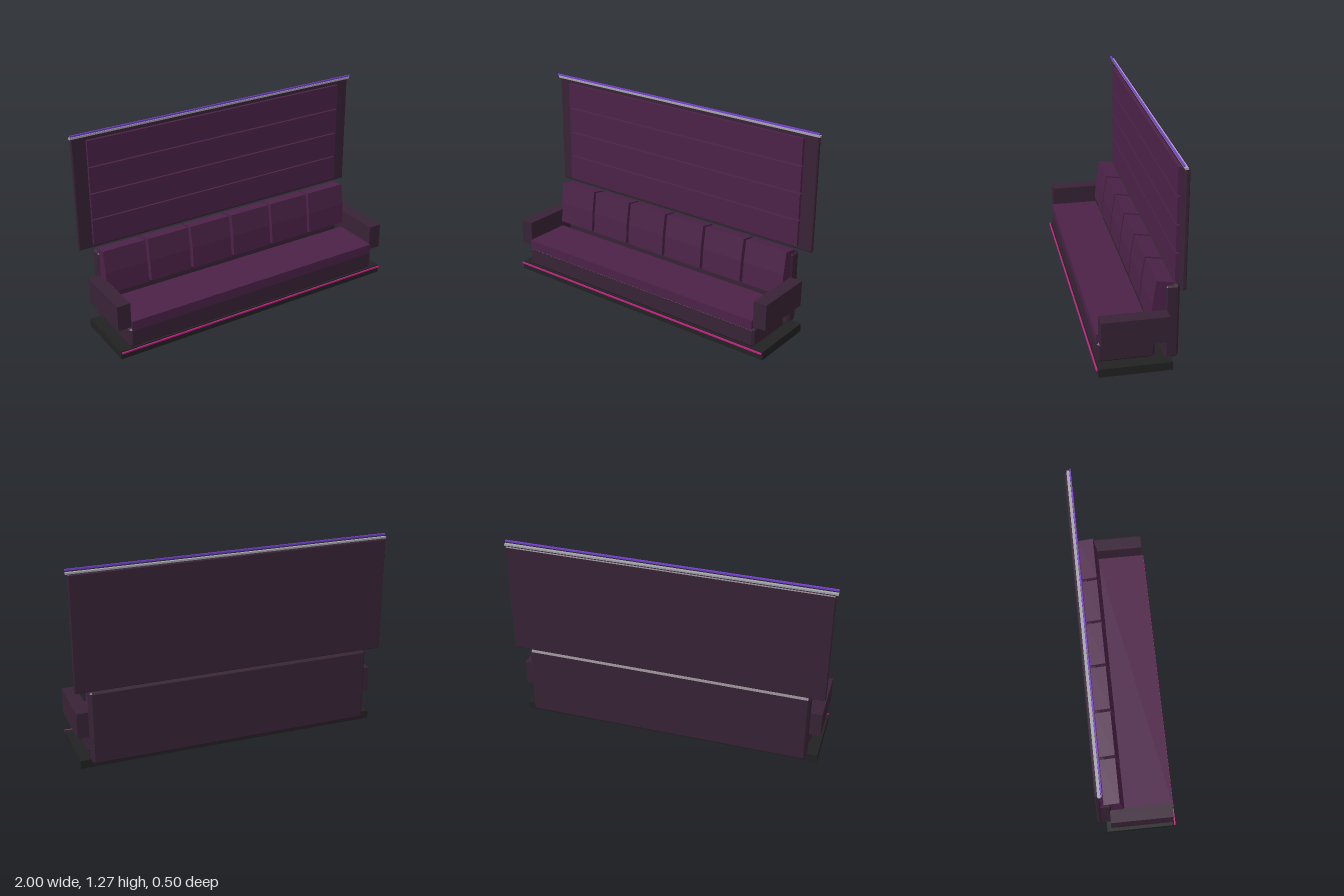
import * as THREE from 'three';
import { ConvexGeometry } from 'three/addons/geometries/ConvexGeometry.js';

const material = (name, color) => new THREE.MeshStandardMaterial({ name, color });

// Box with all edges chamfered by b
function chamferBox(w, h, d, b) {
  const points = [];
  for (const x of [-w / 2, w / 2]) for (const y of [-h / 2, h / 2]) for (const z of [-d / 2, d / 2]) {
    const bx = Math.sign(x) * b, by = Math.sign(y) * b, bz = Math.sign(z) * b;
    points.push(
      new THREE.Vector3(x, y - by, z - bz),
      new THREE.Vector3(x - bx, y, z - bz),
      new THREE.Vector3(x - bx, y - by, z));
  }
  return new ConvexGeometry(points);
}

export function createModel() {
  const model = new THREE.Group();
  model.name = 'benchWithWallPanel';

  const plum = material('plum upholstery', 0x4c2248);
  const aubergine = material('dark aubergine', 0x382336);
  const black = material('black plinth', 0x222222);
  const silver = material('silver trim', 0xa4a4ac);
  const violet = material('violet light', 0x7a40d8);
  const magenta = material('magenta light', 0xc02080);

  // Adds a block given its ranges on each axis; chamfer is optional
  function block(name, mat, [x0, x1], [y0, y1], [z0, z1], chamfer = 0) {
    const w = x1 - x0, h = y1 - y0, d = z1 - z0;
    const geometry = chamfer ? chamferBox(w, h, d, chamfer) : new THREE.BoxGeometry(w, h, d);
    const mesh = new THREE.Mesh(geometry, mat);
    mesh.name = name;
    mesh.position.set((x0 + x1) / 2, (y0 + y1) / 2, (z0 + z1) / 2);
    model.add(mesh);
  }

  // Bench body
  block('plinth', black, [-0.967, 0.967], [0, 0.053], [-0.19, 0.237]);
  block('plinthLight', magenta, [-0.965, 0.965], [0.042, 0.051], [0.243, 0.252]);
  block('seatBase', aubergine, [-0.9, 0.9], [0.053, 0.181], [-0.1, 0.235], 0.014);
  block('seatCushion', plum, [-0.886, 0.886], [0.17, 0.232], [-0.077, 0.238]);
  block('backrestFrame', aubergine, [-0.9, 0.9], [0.036, 0.51], [-0.237, -0.153], 0.014);
  block('leftArm', aubergine, [0.886, 0.971], [0.19, 0.353], [-0.165, 0.225]);
  block('rightArm', aubergine, [-0.971, -0.886], [0.19, 0.353], [-0.165, 0.225]);

  // Leaning back cushions: side profile in (z, y), extruded across x
  const profile = new THREE.Shape([
    [-0.072, 0.265], [-0.082, 0.4], [-0.103, 0.541], [-0.2, 0.524], [-0.166, 0.247],
  ].map(([z, y]) => new THREE.Vector2(-z, y)));
  const width = 0.281;
  const cushion = new THREE.ExtrudeGeometry(profile, { depth: width, bevelEnabled: false });
  cushion.translate(0, 0, -width / 2).rotateY(Math.PI / 2);
  for (let i = 0; i < 6; i++) {
    const mesh = new THREE.Mesh(cushion, plum);
    mesh.name = 'backCushion' + (i + 1);
    mesh.position.x = (i - 2.5) * 0.3;
    model.add(mesh);
  }

  // Wall panel with horizontal padded strips
  block('wallBoard', aubergine, [-0.99, 0.99], [0.52, 1.242], [-0.246, -0.222], 0.005);
  for (let i = 0; i < 4; i++) {
    const y = 0.545 + i * 0.17;
    block('paddedStrip' + (i + 1), plum, [-0.9, 0.9], [y, y + 0.162], [-0.222, -0.203]);
  }

  // Trim and light along the top
  block('topTrim', silver, [-1, 1], [1.24, 1.252], [-0.232, -0.215]);
  block('topLight', violet, [-1, 1], [1.258, 1.268], [-0.214, -0.206]);

  return model;
}
